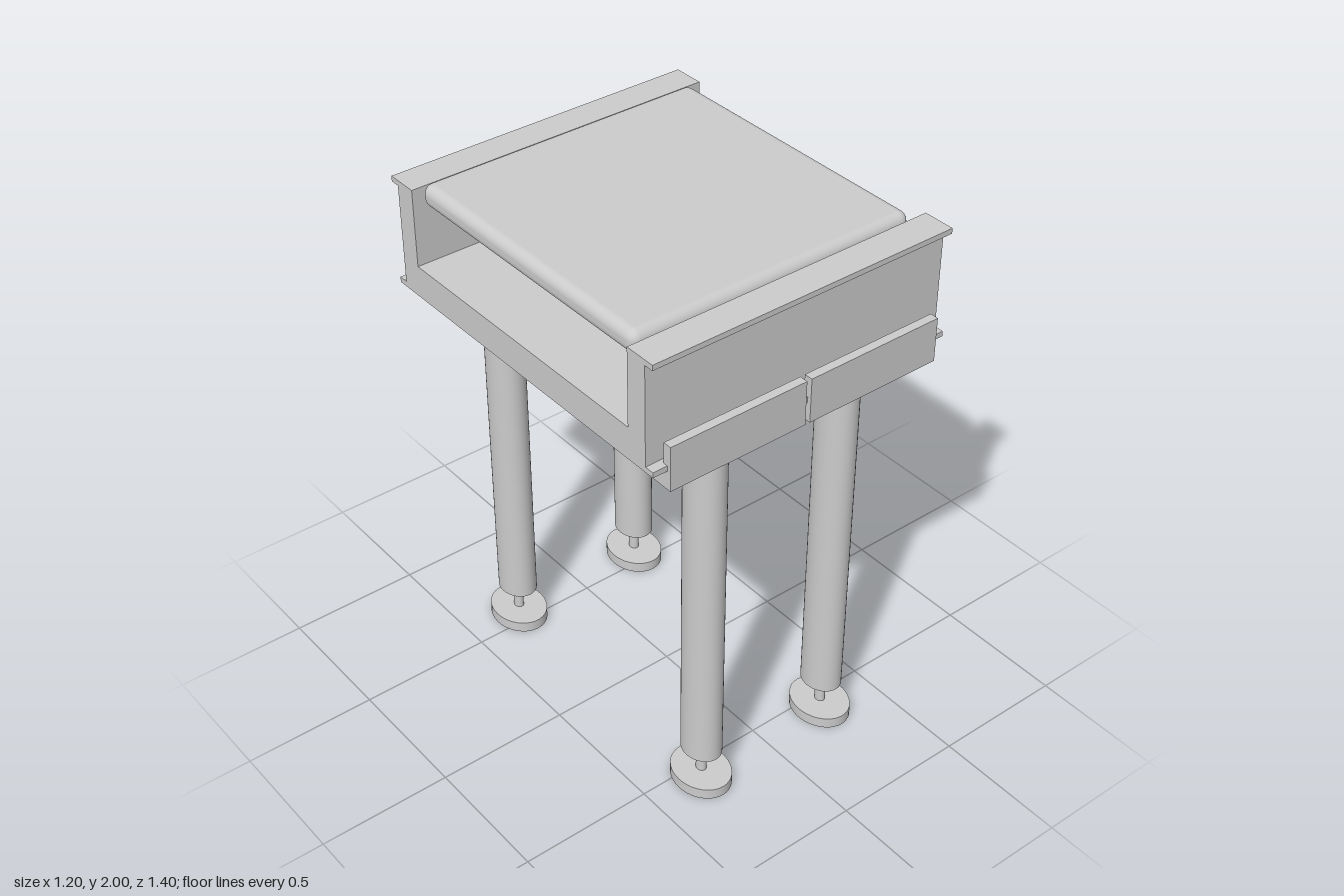
import * as THREE from 'three';
import { RoundedBoxGeometry } from 'three/addons/geometries/RoundedBoxGeometry.js';

const material = new THREE.MeshStandardMaterial({ color: 0xcccccc });

function add(parent, name, geometry, x = 0, y = 0, z = 0) {
  const mesh = new THREE.Mesh(geometry, material);
  mesh.name = name;
  mesh.position.set(x, y, z);
  parent.add(mesh);
  return mesh;
}

// Mirrors half of a (z, y) profile and extrudes it along x from x0 to x1.
function channel(half, x0, x1) {
  const mirrored = half.map(([z, y]) => [-z, y]).reverse();
  const shape = new THREE.Shape([...half, ...mirrored].map(([z, y]) => new THREE.Vector2(z, y)));
  const geometry = new THREE.ExtrudeGeometry(shape, { depth: x1 - x0, bevelEnabled: false });
  geometry.rotateY(-Math.PI / 2);
  geometry.translate(x1, 0, 0);
  return geometry;
}

// Upright cylinder, slightly oval: wider in z than in x.
function oval(rx, rz, y0, y1) {
  const geometry = new THREE.CylinderGeometry(1, 1, y1 - y0, 40);
  geometry.scale(rx, 1, rz);
  geometry.translate(0, (y0 + y1) / 2, 0);
  return geometry;
}

export function createModel() {
  const model = new THREE.Group();
  model.name = 'stand';

  // Open-ended housing: thick floor, two walls, narrow flanges at top and bottom
  add(model, 'housing', channel([
    [0.687, 1.57], [0.687, 1.59], [0.651, 1.59], [0.651, 1.96],
    [0.687, 1.96], [0.687, 1.98], [0.567, 1.98], [0.567, 1.69],
  ], -0.6, 0.6));

  // Cushioned top panel held between the walls
  add(model, 'topPanel', new RoundedBoxGeometry(1.117, 0.085, 1.117, 5, 0.036), -0.012, 1.9575, -0.002);

  // Two U-shaped trays, side by side with a small gap
  const tray = [[0.702, 1.5], [0.702, 1.667], [0.669, 1.667], [0.669, 1.57]];
  add(model, 'rightTray', channel(tray, -0.545, -0.005));
  add(model, 'leftTray', channel(tray, 0.014, 0.555));

  // Four legs, each with collar, tube, thin stem and foot
  for (const [side, x] of [['Right', -0.286], ['Left', 0.274]]) {
    for (const [end, z] of [['front', 0.553], ['back', -0.553]]) {
      const leg = new THREE.Group();
      leg.name = `${end}${side}Leg`;
      leg.position.set(x, 0, z);
      add(leg, 'collar', oval(0.086, 0.106, 1.485, 1.502));
      add(leg, 'tube', oval(0.067, 0.082, 0.143, 1.49));
      add(leg, 'stem', oval(0.017, 0.021, 0.03, 0.15));
      add(leg, 'foot', oval(0.099, 0.123, 0, 0.042));
      model.add(leg);
    }
  }
  return model;
}
